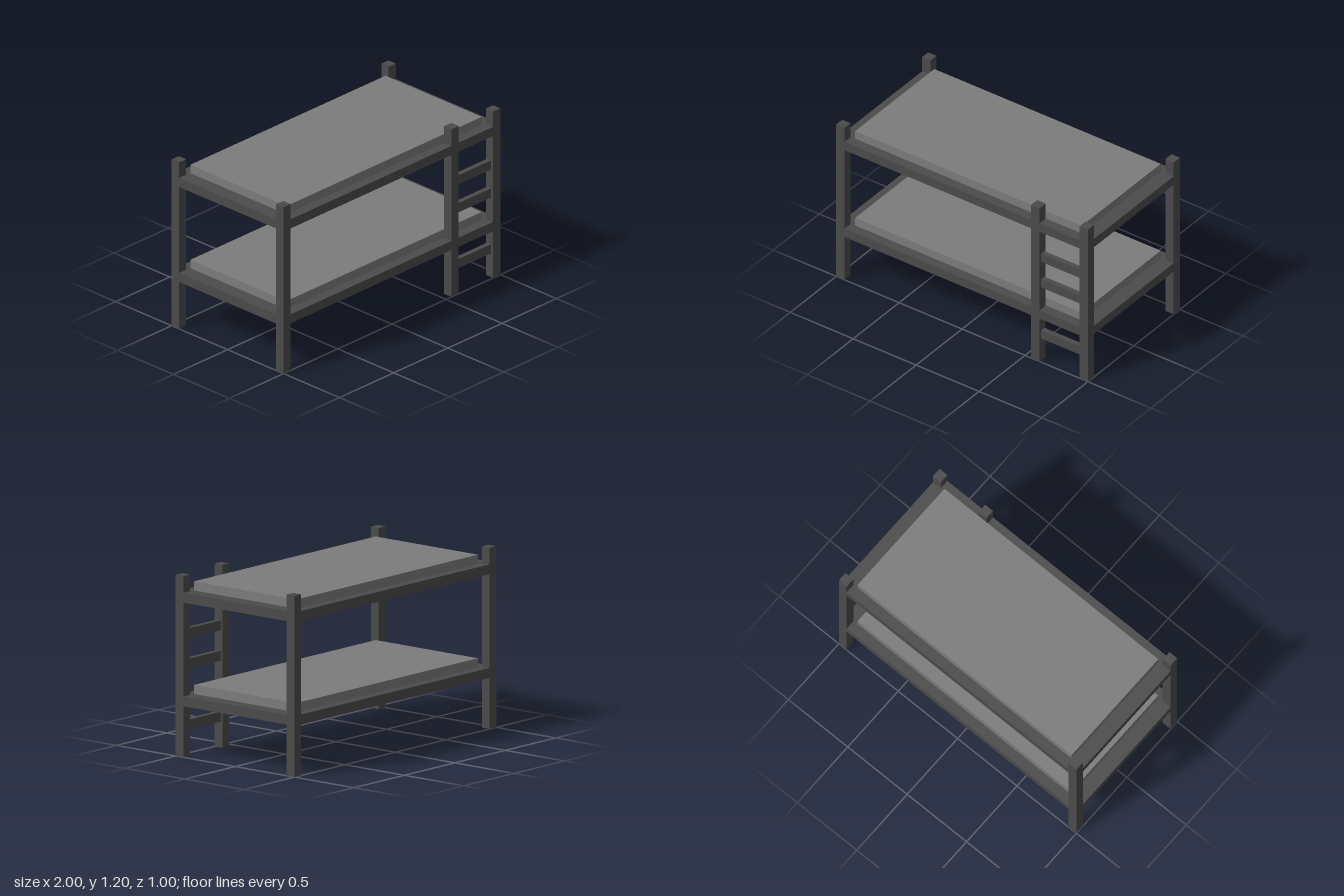
import * as THREE from 'three';

export function createModel() {
  const model = new THREE.Group();
  model.name = 'bunkBed';
  const frame = new THREE.MeshStandardMaterial({ color: 0x4b4b4b });
  const fabric = new THREE.MeshStandardMaterial({ color: 0x7c7c7c });

  // Box given by its minimum and maximum corners
  function box(name, material, [x0, y0, z0], [x1, y1, z1], parent = model) {
    const mesh = new THREE.Mesh(new THREE.BoxGeometry(x1 - x0, y1 - y0, z1 - z0), material);
    mesh.position.set((x0 + x1) / 2, (y0 + y1) / 2, (z0 + z1) / 2);
    mesh.name = name;
    parent.add(mesh);
  }

  const T = 0.066; // timber thickness
  const inset = 0.001; // keeps the bunk bases just inside the post faces

  // Four corner posts
  for (const x of [-1, 1 - T]) {
    for (const z of [-0.5, 0.5 - T]) {
      box('cornerPost', frame, [x, 0, z], [x + T, 1.19, z + T]);
    }
  }

  // Two bunks, each a solid base with a mattress
  for (const [name, y] of [['lowerBunk', 0.335], ['upperBunk', 1.015]]) {
    const bunk = new THREE.Group();
    bunk.name = name;
    box('bunkBase', frame, [-1 + inset, y, -0.5 + inset], [1 - inset, y + 0.065, 0.5 - inset], bunk);
    box('mattress', fabric, [-0.9, y + 0.065, -0.43], [0.9, y + 0.125, 0.43], bunk);
    model.add(bunk);
  }

  // Ladder: one extra post, rungs running to the front left corner post
  const ladder = new THREE.Group();
  ladder.name = 'ladder';
  box('ladderPost', frame, [0.55, 0, 0.5 - T], [0.55 + T, 1.2, 0.5], ladder);
  for (const y of [0.17, 0.57, 0.77]) {
    box('ladderRung', frame, [0.55 + T, y, 0.447], [1 - T, y + 0.065, 0.482], ladder);
  }
  model.add(ladder);

  return model;
}
